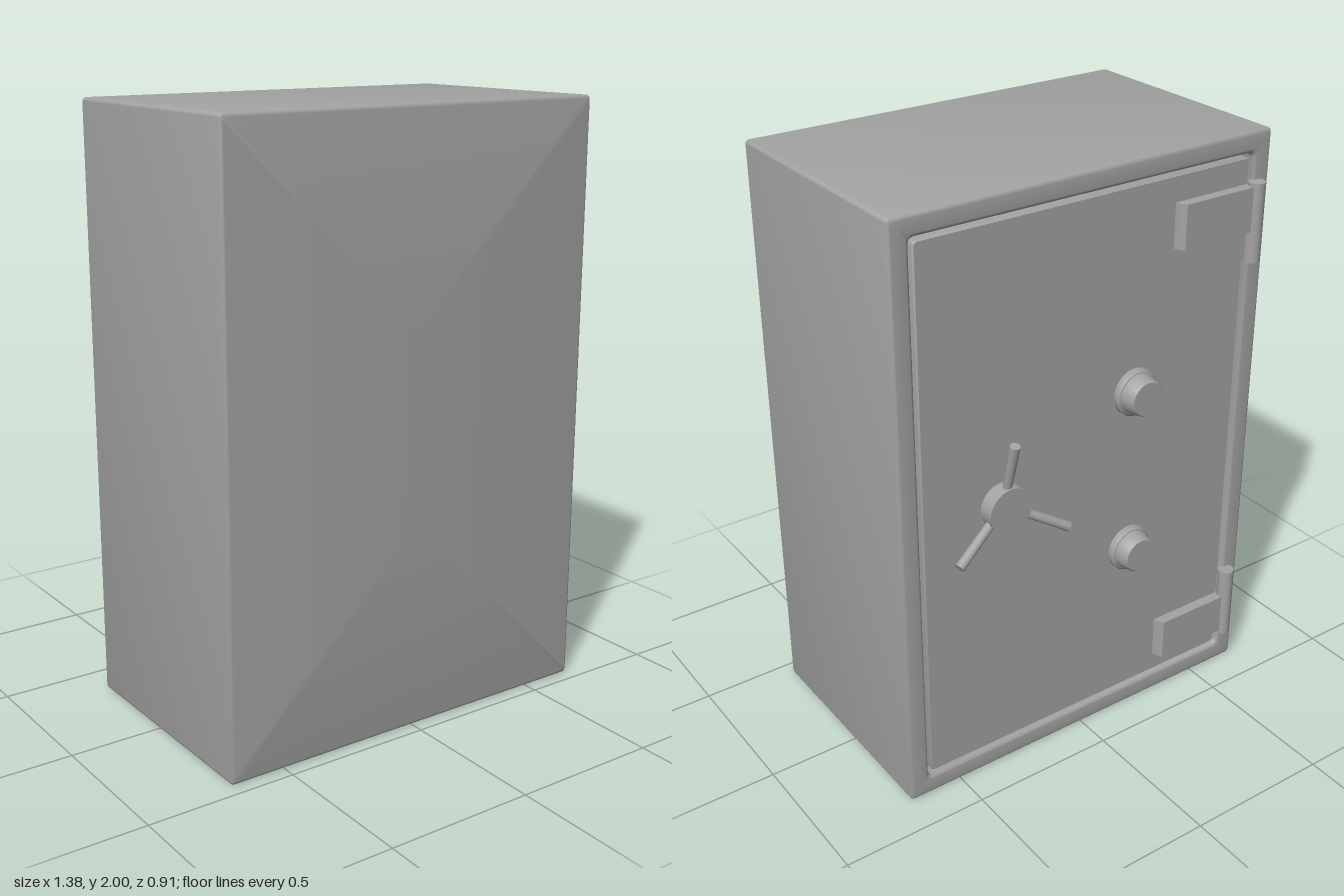
import * as THREE from 'three';
import { toCreasedNormals } from 'three/addons/utils/BufferGeometryUtils.js';

const HALF_W = 0.69, HALF_H = 1, FRONT = 0.455, BACK = -0.375;

// Skin rounded-rectangle loops; each profile entry is [inset, z, cornerRadius]
function loft(profile) {
  const pos = [], index = [], seg = 4, n = 4 * (seg + 1);
  for (const [inset, z, r] of profile) {
    const w = HALF_W - inset - r, h = HALF_H - inset - r;
    for (let c = 0; c < 4; c++) {
      const sx = c === 0 || c === 3 ? 1 : -1, sy = c < 2 ? 1 : -1;
      for (let k = 0; k <= seg; k++) {
        const a = (c + k / seg) * Math.PI / 2;
        pos.push(sx * w + r * Math.cos(a), 1 + sy * h + r * Math.sin(a), z);
      }
    }
  }
  for (let i = 0; i < profile.length - 1; i++) {
    for (let j = 0; j < n; j++) {
      const a = i * n + j, b = i * n + (j + 1) % n;
      index.push(a, a + n, b, b, a + n, b + n);
    }
  }
  const g = new THREE.BufferGeometry();
  g.setAttribute('position', new THREE.Float32BufferAttribute(pos, 3));
  g.setIndex(index);
  return toCreasedNormals(g, 0.5);
}

// Quarter-round steps between the faces of the cabinet
function roundEdge(inset, z, r, fromAngle, toAngle, corner) {
  const out = [];
  for (let k = 0; k <= 4; k++) {
    const a = fromAngle + (toAngle - fromAngle) * k / 4;
    out.push([inset - r * Math.cos(a), z + r * Math.sin(a), corner]);
  }
  return out;
}

export function createModel() {
  const model = new THREE.Group();
  const steel = new THREE.MeshStandardMaterial({ color: 0xa3a3a3 });
  steel.name = 'grey steel';

  const add = (parent, name, geometry, x = 0, y = 0, z = 0) => {
    const mesh = new THREE.Mesh(geometry, steel);
    mesh.name = name;
    mesh.position.set(x, y, z);
    parent.add(mesh);
    return mesh;
  };
  // Lathe solid whose axis points out of the door (-z)
  const turned = (points) => {
    const g = new THREE.LatheGeometry(points.map(([r, d]) => new THREE.Vector2(r, d)), 32);
    g.rotateX(-Math.PI / 2);
    return toCreasedNormals(g, 0.5);
  };

  // Cabinet with the door opening
  const R = 0.012, q = Math.PI / 2;
  add(model, 'cabinet', loft([
    [HALF_W, FRONT, 0],
    ...roundEdge(R, FRONT - R, R, q, 0, R),
    ...roundEdge(R, BACK + R, R, 0, -q, R),
    ...roundEdge(0.056, BACK + R, R, -q, -Math.PI, 0.02),
    [0.068, BACK + 0.05, 0.02],
    [HALF_W, BACK + 0.05, 0],
  ]));

  // Door panel, set in a narrow groove
  add(model, 'door', loft([
    [0.081, BACK + 0.05, 0.015],
    [0.081, BACK + 0.011, 0.015],
    [0.085, BACK + 0.006, 0.012],
    [HALF_W, BACK + 0.006, 0],
  ]));

  // Hinges: barrel plus a leaf with a sloping end
  const leafShape = new THREE.Shape();
  [[-0.63, -0.36], [-0.315, -0.36], [-0.32, -0.38], [-0.333, -0.405], [-0.63, -0.405]]
    .forEach(([x, z], i) => (i ? leafShape.lineTo(x, -z) : leafShape.moveTo(x, -z)));
  [['upper', 1.7125, 1.685], ['lower', 0.27, 0.15]].forEach(([side, barrelY, leafY]) => {
    const hinge = new THREE.Group();
    hinge.name = side + 'Hinge';
    const leaf = new THREE.ExtrudeGeometry(leafShape, { depth: 0.148, bevelEnabled: false });
    leaf.rotateX(-Math.PI / 2);
    add(hinge, 'hingeLeaf', leaf, 0, leafY, 0);
    add(hinge, 'hingeBarrel', new THREE.CylinderGeometry(0.028, 0.028, 0.262, 24), -0.626, barrelY, -0.391);
    model.add(hinge);
  });

  // Two combination dials
  [1.237, 0.655].forEach((y, i) => {
    const dial = new THREE.Group();
    dial.name = i ? 'lowerDial' : 'upperDial';
    dial.position.set(-0.182, y, BACK);
    add(dial, 'dialRing', turned([[0.08, -0.02], [0.08, 0.008], [0.072, 0.016], [0, 0.016]]));
    add(dial, 'dialKnob', turned([[0.069, 0], [0.069, 0.02], [0.06, 0.06], [0.056, 0.065], [0, 0.065]]));
    model.add(dial);
  });

  // Three-spoke handle, spokes leaning away from the door
  const handle = new THREE.Group();
  handle.name = 'handle';
  handle.position.set(0.325, 1, BACK);
  add(handle, 'handleHub', turned([[0.077, -0.02], [0.077, 0.047], [0, 0.047]]));
  for (let i = 0; i < 3; i++) {
    const a = Math.PI / 2 + i * Math.PI * 2 / 3;
    const at = (r, z) => new THREE.Vector3(r * Math.cos(a), r * Math.sin(a), z);
    const start = at(0.04, -0.016), end = at(0.235, -0.066);
    const spoke = add(handle, 'handleSpoke', new THREE.CylinderGeometry(0.0165, 0.0145, start.distanceTo(end), 16));
    spoke.position.copy(start).lerp(end, 0.5);
    spoke.quaternion.setFromUnitVectors(new THREE.Vector3(0, 1, 0), end.clone().sub(start).normalize());
  }
  model.add(handle);

  return model;
}
